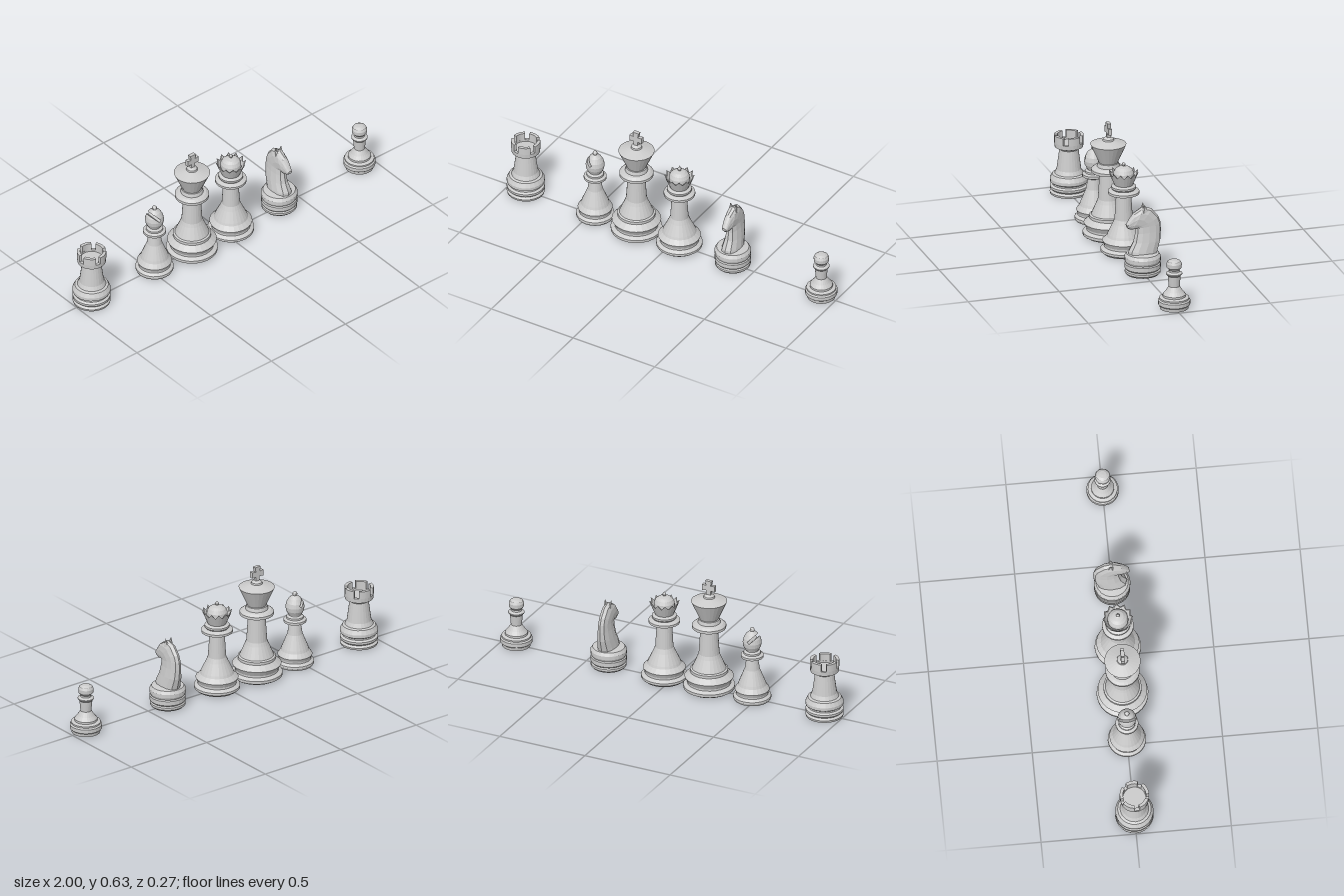
import * as THREE from 'three';
import { ConvexGeometry } from 'three/addons/geometries/ConvexGeometry.js';

const material = new THREE.MeshStandardMaterial({ color: 0xcccccc, flatShading: true });
const openMaterial = new THREE.MeshStandardMaterial({ color: 0xcccccc, flatShading: true, side: THREE.DoubleSide });
const SIDES = 24;

function add(parent, name, geometry, mat = material) {
  const mesh = new THREE.Mesh(geometry, mat);
  mesh.name = name;
  parent.add(mesh);
  return mesh;
}

// Turned solid from [radius, height] pairs, bottom to top
const turned = (profile) =>
  new THREE.LatheGeometry(profile.map(([r, y]) => new THREE.Vector2(r, y)), SIDES);

function piece(name, x) {
  const group = new THREE.Group();
  group.name = name;
  group.position.x = x;
  return group;
}

function makeKing() {
  const king = piece('king', -0.22);
  add(king, 'kingBody', turned([
    [0, 0], [0.115, 0], [0.135, 0.012], [0.136, 0.028], [0.115, 0.04], [0.115, 0.05], [0.13, 0.078],
    [0.1, 0.105], [0.1, 0.12], [0.09, 0.125], [0.062, 0.19], [0.055, 0.21], [0.046, 0.35],
    [0.062, 0.355], [0.09, 0.36], [0.09, 0.375], [0.075, 0.387], [0.06, 0.39], [0.055, 0.41],
    [0.05, 0.412], [0.095, 0.513], [0.03, 0.533], [0.028, 0.542], [0.016, 0.551], [0, 0.553]]));
  // Cross finial
  const half = [[0.012, 0.548], [0.012, 0.575], [0.036, 0.572], [0.036, 0.606], [0.013, 0.603], [0.018, 0.63]];
  const outline = [...half, ...half.map(([x, y]) => [-x, y]).reverse()];
  const cross = new THREE.ExtrudeGeometry(
    new THREE.Shape(outline.map(([x, y]) => new THREE.Vector2(x, y))), { depth: 0.02, bevelEnabled: false });
  add(king, 'cross', cross.translate(0, 0, -0.01));
  return king;
}

function makeQueen() {
  const queen = piece('queen', 0.043);
  add(queen, 'queenBody', turned([
    [0, 0], [0.105, 0], [0.122, 0.014], [0.122, 0.027], [0.103, 0.04], [0.103, 0.05], [0.113, 0.072],
    [0.09, 0.095], [0.085, 0.108], [0.058, 0.165], [0.048, 0.19], [0.04, 0.32], [0.055, 0.325],
    [0.083, 0.332], [0.083, 0.345], [0.06, 0.355], [0.065, 0.362], [0.065, 0.372], [0.05, 0.38], [0, 0.382]]));
  // Crown with pointed rim: every second rim vertex is lowered
  const crown = turned([[0.048, 0.378], [0.08, 0.455], [0.074, 0.453], [0.045, 0.385]]);
  const pos = crown.attributes.position;
  for (let i = 0; i < pos.count; i++) {
    const column = Math.floor(i / 4), row = i % 4;
    if (column % 2 && (row === 1 || row === 2))
      pos.setXYZ(i, pos.getX(i) * 0.89, pos.getY(i) - 0.022, pos.getZ(i) * 0.89);
  }
  add(queen, 'crown', crown, openMaterial);
  add(queen, 'crownDome', turned([
    [0.04, 0.38], [0.055, 0.425], [0.054, 0.447], [0.045, 0.465], [0.03, 0.476], [0.012, 0.48],
    [0.007, 0.483], [0.01, 0.492], [0.006, 0.499], [0, 0.506]]));
  return queen;
}

// Convex solid trimmed to the side of a plane where the distance is positive
function clip(geometry, distance) {
  const p = geometry.attributes.position, kept = [];
  for (let i = 0; i < p.count; i += 3) {
    for (let k = 0; k < 3; k++) {
      const a = new THREE.Vector3().fromBufferAttribute(p, i + k);
      const b = new THREE.Vector3().fromBufferAttribute(p, i + (k + 1) % 3);
      const da = distance(a), db = distance(b);
      if (da >= 0) kept.push(a);
      if (da * db < 0) kept.push(a.clone().lerp(b, da / (da - db)));
    }
  }
  return new ConvexGeometry(kept);
}

function makeBishop() {
  const bishop = piece('bishop', -0.473);
  add(bishop, 'bishopBody', turned([
    [0, 0], [0.095, 0], [0.101, 0.012], [0.1, 0.022], [0.085, 0.034], [0.085, 0.042], [0.092, 0.06],
    [0.075, 0.085], [0.07, 0.1], [0.05, 0.15], [0.04, 0.175], [0.031, 0.232], [0.045, 0.238],
    [0.06, 0.245], [0.06, 0.258], [0.045, 0.265], [0.045, 0.275], [0.032, 0.282], [0.032, 0.295], [0, 0.295]]));
  // Head in three solids around a sloping slit
  const head = turned([[0, 0.285], [0.036, 0.288], [0.047, 0.31], [0.05, 0.332], [0.045, 0.355],
    [0.032, 0.378], [0.014, 0.393], [0, 0.395]]).toNonIndexed();
  const s = Math.SQRT1_2, cx = -0.008, cy = 0.349, gap = 0.0075;
  const across = (v) => s * (v.x - cx + v.y - cy);
  const along = (v) => s * (v.x - cx - v.y + cy);
  add(bishop, 'headLower', clip(head, (v) => -across(v) - gap));
  add(bishop, 'headUpper', clip(head, (v) => across(v) - gap));
  const layer = clip(clip(head, (v) => across(v) + gap), (v) => gap - across(v));
  add(bishop, 'headBridge', clip(layer, (v) => along(v) - 0.012));
  add(bishop, 'headBall', new THREE.SphereGeometry(0.013, 12, 8)).position.y = 0.401;
  return bishop;
}

function makeRook() {
  const rook = piece('rook', -0.898);
  add(rook, 'rookBody', turned([
    [0, 0], [0.098, 0], [0.101, 0.012], [0.09, 0.022], [0.1, 0.032], [0.1, 0.044], [0.088, 0.052],
    [0.088, 0.06], [0.1, 0.068], [0.1, 0.085], [0.088, 0.108], [0.075, 0.113], [0.065, 0.135],
    [0.05, 0.245], [0.055, 0.252], [0.075, 0.26], [0.077, 0.285], [0.06, 0.285], [0.06, 0.275], [0, 0.275]]));
  // Battlements
  const count = 5, step = (Math.PI * 2) / count, notch = 0.36;
  for (let i = 0; i < count; i++) {
    const start = -1.78 + i * step + notch / 2, end = start + step - notch;
    const shape = new THREE.Shape();
    shape.absarc(0, 0, 0.077, start, end, false);
    shape.absarc(0, 0, 0.06, end, start, true);
    const wall = new THREE.ExtrudeGeometry(shape, { depth: 0.04, bevelEnabled: false, curveSegments: 5 });
    add(rook, 'battlement', wall.rotateX(-Math.PI / 2).translate(0, 0.285, 0));
  }
  return rook;
}

function makeKnight() {
  const knight = piece('knight', 0.37);
  add(knight, 'knightBase', turned([
    [0, 0.015], [0.035, 0.015], [0.035, 0], [0.085, 0], [0.094, 0.01], [0.094, 0.022], [0.088, 0.028],
    [0.095, 0.036], [0.095, 0.06], [0.09, 0.066], [0.096, 0.078], [0.096, 0.098], [0.085, 0.115], [0, 0.127]]));
  // Neck and head: [back z, back y, front z, front y, half width]
  const stations = [
    [-0.078, 0.11, 0.078, 0.11, 0.05], [-0.084, 0.132, 0.077, 0.132, 0.047], [-0.097, 0.18, 0.052, 0.18, 0.04],
    [-0.1, 0.235, 0.042, 0.228, 0.032], [-0.098, 0.275, 0.04, 0.258, 0.029], [-0.085, 0.312, 0.045, 0.256, 0.029],
    [-0.047, 0.358, 0.053, 0.251, 0.029], [0, 0.372, 0.062, 0.249, 0.028], [0.047, 0.343, 0.07, 0.252, 0.022],
    [0.072, 0.31, 0.08, 0.257, 0.018], [0.09, 0.283, 0.088, 0.266, 0.013]];
  const N = 12, vertices = [], index = [];
  for (const [bz, by, fz, fy, w] of stations) {
    for (let j = 0; j < N; j++) {
      const a = (j / N) * Math.PI * 2, t = (1 - Math.cos(a)) / 2;
      const side = Math.sign(Math.sin(a)) * Math.pow(Math.abs(Math.sin(a)), 0.8);
      vertices.push(w * side, by + (fy - by) * t, bz + (fz - bz) * t);
    }
  }
  for (let i = 0; i < stations.length - 1; i++) {
    for (let j = 0; j < N; j++) {
      const a = i * N + j, b = i * N + (j + 1) % N;
      index.push(a, b, b + N, a, b + N, a + N);
    }
  }
  const last = (stations.length - 1) * N;
  for (let j = 1; j < N - 1; j++) index.push(last, last + j, last + j + 1);
  const body = new THREE.BufferGeometry();
  body.setAttribute('position', new THREE.Float32BufferAttribute(vertices, 3));
  body.setIndex(index);
  body.computeVertexNormals();
  add(knight, 'neckAndHead', body, openMaterial);
  for (const sx of [-1, 1]) {
    const ear = add(knight, 'ear', new THREE.ConeGeometry(0.014, 0.05, 5));
    ear.position.set(sx * 0.015, 0.363, -0.006);
    ear.scale.z = 1.6;
    ear.rotation.z = -sx * 0.12;
  }
  return knight;
}

function makePawn() {
  const pawn = piece('pawn', 0.912);
  add(pawn, 'pawnBody', turned([
    [0, 0], [0.075, 0], [0.078, 0.018], [0.085, 0.024], [0.085, 0.045], [0.078, 0.052], [0.078, 0.06],
    [0.06, 0.066], [0.06, 0.077], [0.045, 0.096], [0.029, 0.122], [0.034, 0.18], [0.043, 0.19],
    [0.043, 0.195], [0.028, 0.203], [0.027, 0.212], [0.039, 0.226], [0.04, 0.248], [0.034, 0.26],
    [0.02, 0.268], [0, 0.27]]));
  return pawn;
}

export function createModel() {
  const set = new THREE.Group();
  set.name = 'chessPieces';
  set.add(makeRook(), makeBishop(), makeKing(), makeQueen(), makeKnight(), makePawn());
  return set;
}
